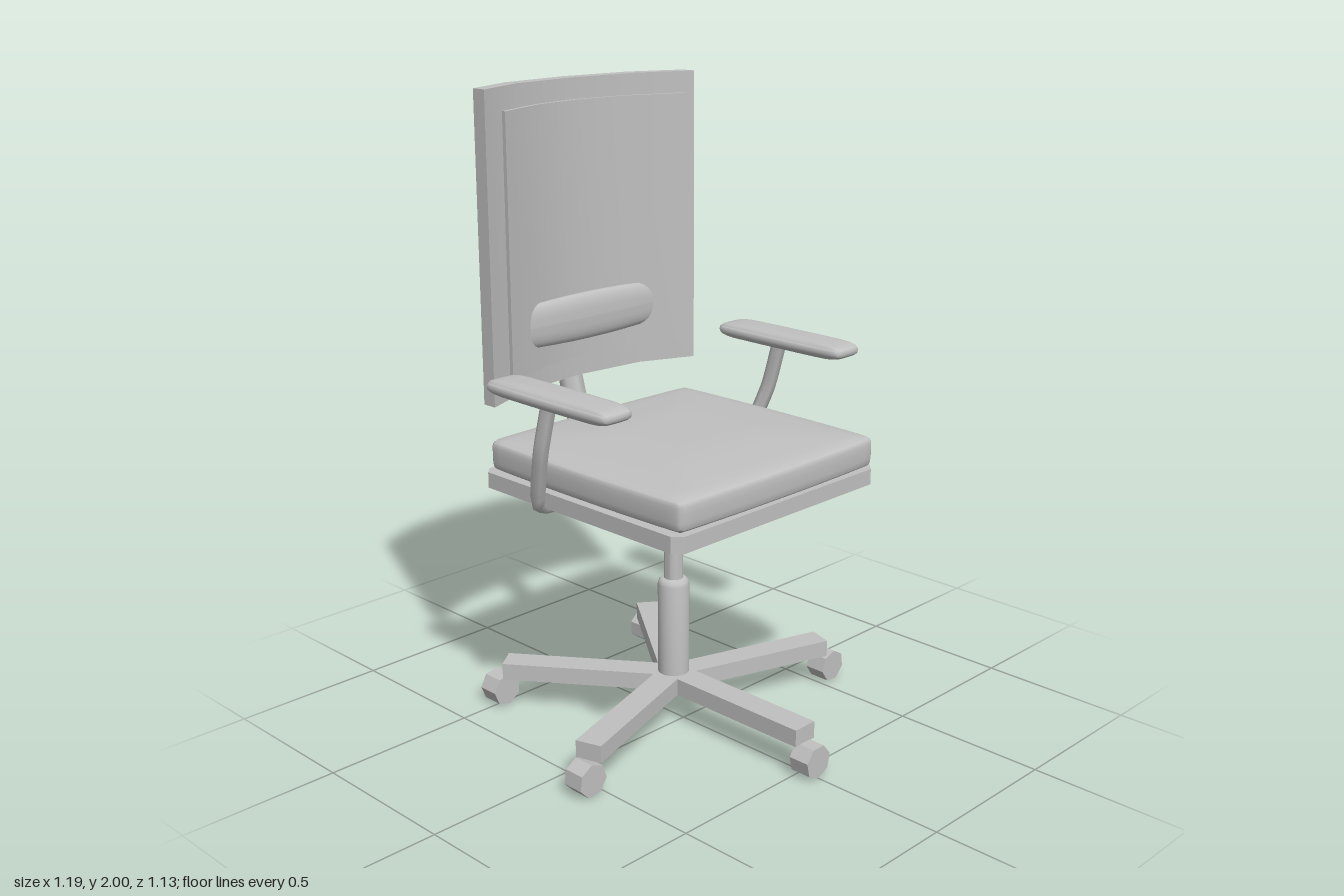
import * as THREE from 'three';
import { mergeVertices, toCreasedNormals } from 'three/addons/utils/BufferGeometryUtils.js';

const grey = new THREE.MeshStandardMaterial({ color: 0xc0c0c0 });
grey.name = 'grey';

const V = (x, y, z) => new THREE.Vector3(x, y, z);

export function createModel() {
  const chair = new THREE.Group();
  chair.name = 'officeChair';

  function add(name, geometry, x = 0, y = 0, z = 0) {
    const mesh = new THREE.Mesh(geometry, grey);
    mesh.name = name;
    mesh.position.set(x, y, z);
    chair.add(mesh);
    return mesh;
  }

  // Padded block: rounded edges, bowed outline and faces sloping down to the rim
  function cushion(w, h, d, r, bow, dropTop, dropBottom) {
    let g = new THREE.BoxGeometry(2, 2, 2, 14, 6, 14);
    g.deleteAttribute('uv');
    g.deleteAttribute('normal');
    g = mergeVertices(g);
    const p = g.attributes.position;
    const spread = (t) => Math.sign(t) * (1 - Math.pow(1 - Math.min(1, Math.abs(t)), 1.6));
    const half = V(w / 2, h / 2, d / 2);
    const inner = half.clone().subScalar(r);
    for (let i = 0; i < p.count; i++) {
      const u = V(spread(p.getX(i)), spread(p.getY(i)), spread(p.getZ(i)));
      const q = u.clone().multiply(half);
      const core = q.clone().clamp(inner.clone().negate(), inner);
      const off = q.clone().sub(core);
      if (off.length() > r) off.setLength(r);
      q.copy(core).add(off);
      const rim = Math.max(0, (Math.max(Math.abs(u.x), Math.abs(u.z)) - 0.45) / 0.55);
      q.y -= u.y > 0 ? dropTop * rim * u.y : dropBottom * rim * u.y;
      q.x -= Math.sign(u.x) * bow * u.z * u.z * Math.abs(u.x);
      q.z -= Math.sign(u.z) * bow * u.x * u.x * Math.abs(u.z);
      p.setXYZ(i, q.x, q.y, q.z);
    }
    g.computeVertexNormals();
    return g;
  }

  // Plan outline (x, z) raised from y0 to y1
  function slab(points, y0, y1) {
    const shape = new THREE.Shape(points.map(([x, z]) => new THREE.Vector2(x, -z)));
    const g = new THREE.ExtrudeGeometry(shape, { depth: y1 - y0, bevelEnabled: false });
    g.rotateX(-Math.PI / 2);
    g.translate(0, y0, 0);
    return toCreasedNormals(g, 0.6);
  }

  // Bent rod with closed ends
  function rod(name, points, radius, sides) {
    const curve = new THREE.CatmullRomCurve3(points, false, 'catmullrom', 0.3);
    add(name, new THREE.TubeGeometry(curve, 16, radius, sides));
    for (const t of [0, 1]) {
      const cap = add(name + 'End', new THREE.SphereGeometry(radius, sides, 4));
      cap.position.copy(curve.getPoint(t));
      cap.quaternion.setFromUnitVectors(V(0, 1, 0), curve.getTangent(t));
      cap.scale.y = 0.15;
    }
  }

  // Five-legged base with casters that all face the front
  const zc = -0.045;
  for (let i = 0; i < 5; i++) {
    const a = (i * Math.PI * 2) / 5;
    const leg = new THREE.BoxGeometry(0.085, 0.055, 0.555);
    leg.translate(0, 0, 0.2775);
    add('baseLeg', leg, 0, 0.127, zc).rotation.y = a;
    const wheel = new THREE.CylinderGeometry(0.053, 0.053, 0.07, 7);
    wheel.rotateX(Math.PI / 2);
    wheel.rotateZ(a);
    add('caster', toCreasedNormals(wheel, 0.6), Math.sin(a) * 0.575, 0.054, zc + Math.cos(a) * 0.575);
  }

  // Gas column: wide sleeve with rounded shoulder, narrow piston
  const profile = [[0, 0.1], [0.05, 0.1], [0.05, 0.455], [0.047, 0.467], [0.038, 0.475], [0.03, 0.476], [0.03, 0.73]];
  const column = new THREE.LatheGeometry(profile.map(([r, y]) => new THREE.Vector2(r, y)), 24);
  add('column', toCreasedNormals(column, 0.7), 0, 0, zc);

  // Tilt mechanism and its lever
  add('mechanism', new THREE.BoxGeometry(0.385, 0.055, 0.42), 0, 0.7475, -0.015);
  add('mechanismMount', new THREE.BoxGeometry(0.3, 0.03, 0.32), 0, 0.785, -0.015);
  rod('lever', [V(0.17, 0.752, 0.1), V(0.3, 0.75, 0.115), V(0.42, 0.737, 0.15)], 0.012, 8);

  // Seat pan with clipped corners, and cushion
  const X = 0.437, F = 0.407, B = -0.438, c = 0.028;
  add('seatPan', slab([
    [-X, F - c], [-X + c, F], [X - c, F], [X, F - c],
    [X, B + c], [X - c, B], [-X + c, B], [-X, B + c],
  ], 0.793, 0.843));
  add('seatCushion', cushion(0.872, 0.118, 0.84, 0.026, 0.01, 0.02, 0), 0, 0.906, -0.005);

  // Curved backrest and its front panel
  const bent = (w, m, ends, mid, centre, t) => [
    [-w, ends], [-m, mid], [0, centre], [m, mid], [w, ends],
    [w, ends - t], [m, mid - t], [0, centre - t], [-m, mid - t], [-w, ends - t],
  ];
  add('backrest', slab(bent(0.43, 0.25, -0.375, -0.45, -0.475, 0.05), 1.055, 2));
  add('backPanel', slab(bent(0.37, 0.18, -0.357, -0.43, -0.452, 0.014), 1.125, 1.935));

  // Lumbar pad: rounded bar, fuller in the middle
  const lumbar = new THREE.CylinderGeometry(1, 1, 0.56, 24, 8);
  lumbar.rotateZ(Math.PI / 2);
  const lp = lumbar.attributes.position;
  for (let i = 0; i < lp.count; i++) {
    const k = 1 - 0.14 * (lp.getX(i) / 0.28) ** 2;
    const y = lp.getY(i);
    lp.setY(i, Math.sign(y) * Math.pow(Math.abs(y), 0.8) * 0.076 * k);
    lp.setZ(i, lp.getZ(i) * 0.026 * k);
  }
  lumbar.computeVertexNormals();
  add('lumbarPad', lumbar, 0, 1.264, -0.421);

  // Spine joining the seat to the backrest
  rod('backSupport', [V(0, 1.078, -0.525), V(0, 0.94, -0.487), V(0, 0.855, -0.455), V(0, 0.81, -0.38), V(0, 0.775, -0.28)], 0.04, 7);

  // Armrests
  for (const s of [1, -1]) {
    add('armPad', cushion(0.133, 0.056, 0.52, 0.024, 0.006, 0.009, 0.009), s * 0.493, 1.167, -0.016);
    rod('armSupport', [
      V(s * 0.495, 1.15, -0.05), V(s * 0.492, 0.99, -0.095),
      V(s * 0.457, 0.82, -0.155), V(s * 0.41, 0.785, -0.175), V(s * 0.29, 0.78, -0.2),
    ], 0.024, 6);
  }
  return chair;
}
